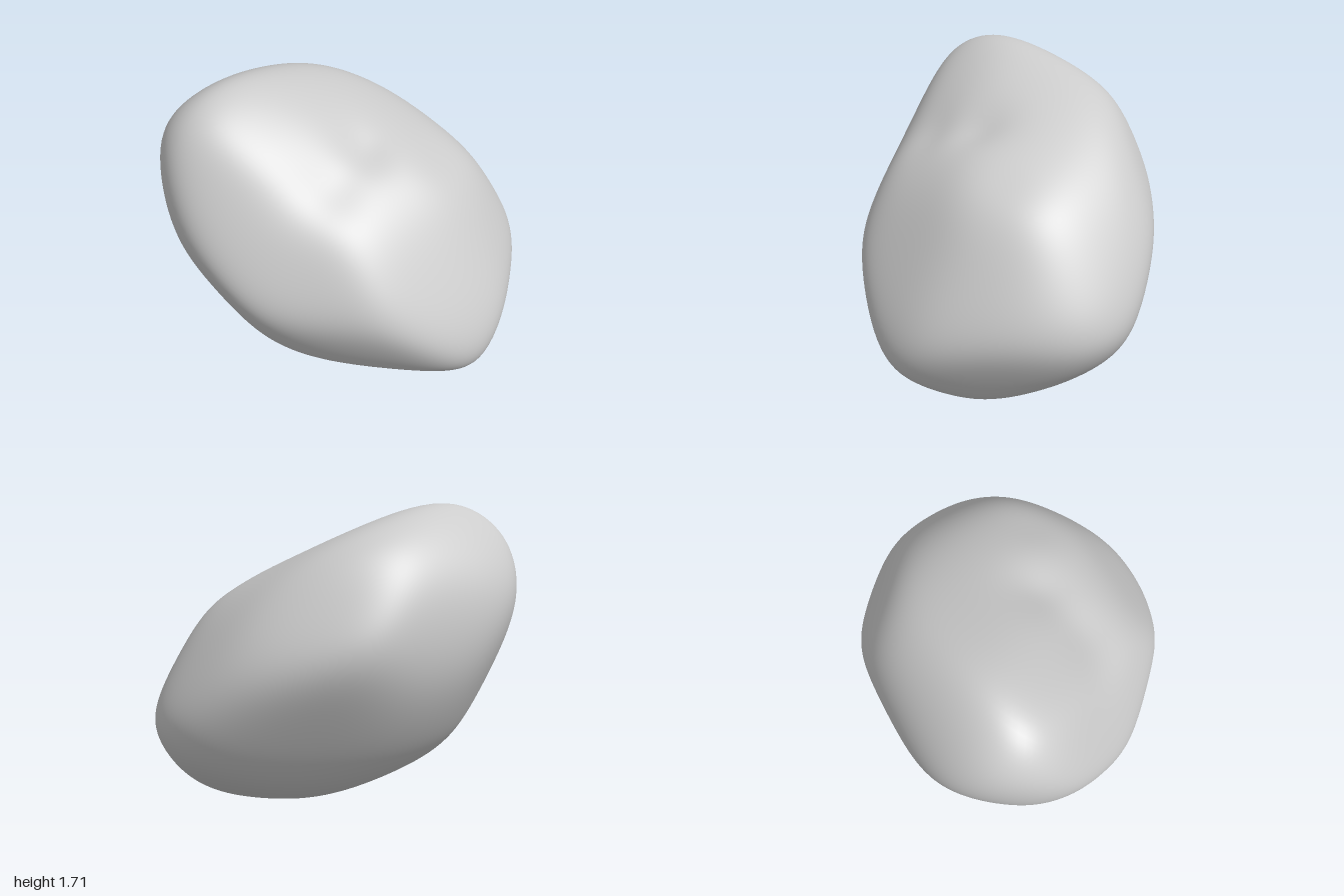
import * as THREE from 'three';
import { mergeVertices } from 'three/addons/utils/BufferGeometryUtils.js';

const V = (x, y, z) => new THREE.Vector3(x, y, z);
const SHARP = 14; // higher = crisper edges between the facets
const [X, Y, Z] = [V(1, 0, 0), V(0, 1, 0), V(0, 0, 1)];

// Right and up axes of an upright plane that faces a diagonal direction
function diagonal(sx, sy, sz) {
  const d = V(sx, sy * 0.66, sz).normalize();
  const right = Y.clone().cross(d).normalize();
  return [right, d.clone().cross(right)];
}

// Rings of facets: two axes, then how far the rock reaches every 30 degrees
const rings = [
  [[X, Y], [0.88, 0.59, 0.58, 0.855, 0.99, 0.97, 0.88, 0.78, 0.77, 0.853, 1.02, 1.06]],
  [[Z, Y], [1, 1.1, 1.06, 0.855, 0.74, 0.77, 1, 1.05, 0.96, 0.853, 0.79, 0.87]],
  [[X, Z], [0.88, 0.8, 0.88, 1, 1.06, 1.03, 0.88, 0.89, 0.91, 1, 0.96, 0.9]],
  [diagonal(1, 1, 1), [0.92, 0.75, 0.67, 0.84, 1.02, 1.13, 1.06, 0.91, 0.82, 0.84, 1.04, 1.08]],
  [diagonal(-1, 1, -1), [1.07, 1.24, 1.17, 0.89, 0.57, 0.67, 0.92, 1.1, 1.03, 0.83, 0.77, 0.84]],
  [diagonal(1, -1, -1), [0.89, 0.9, 0.79, 0.58, 0.56, 0.71, 0.79, 0.85, 0.86, 0.76, 0.77, 0.78]],
];

// Facets between the rings: direction and reach
const corners = [
  [V(1, 0.66, 1), 0.7], [V(-1, 0.66, -1), 0.84], [V(1, -0.66, -1), 1],
  [V(-1, -0.66, 1), 0.87], [V(1, -0.66, 1), 0.82],
];

// Shallow hollows: direction and depth
const hollows = [
  [V(0.1, 0.55, 0.05), 0.05], [V(0.18, 0.42, 0.35), 0.045],
  [V(0.4, 0.42, -0.45), 0.02], [V(-0.1, -0.1, 0.8), 0.02],
];

// Every facet is a plane with a normal, a wanted reach and a working distance h
function makeFacets() {
  const facets = corners.map(([d, reach]) => ({ n: d.clone().normalize(), reach, h: reach }));
  for (const [[u, v], reaches] of rings) {
    reaches.forEach((reach, k) => {
      const a = (k * Math.PI) / 6;
      const n = u.clone().multiplyScalar(Math.cos(a)).addScaledVector(v, Math.sin(a));
      facets.push({ n, reach, h: reach });
    });
  }
  return facets;
}

// Softly rounded intersection of all facets along direction d
function radius(d, facets) {
  let sum = 0;
  for (const f of facets) sum += Math.max(0, d.dot(f.n) / f.h) ** SHARP;
  return sum ** (-1 / SHARP);
}

// Smooth ball with shared corners
function makeBall(detail) {
  const ball = new THREE.IcosahedronGeometry(1, detail);
  ball.deleteAttribute('uv');
  ball.deleteAttribute('normal');
  return mergeVertices(ball, 1e-4);
}

// Unit direction of every corner of a ball
function directions({ attributes: { position } }) {
  return Array.from({ length: position.count }, (_, i) => V().fromBufferAttribute(position, i).normalize());
}

// Move the facets until the rounded body reaches as far as wanted
function fitFacets(facets) {
  const dirs = directions(makeBall(16));
  for (let step = 0; step < 25; step++) {
    const points = dirs.map((d) => d.clone().multiplyScalar(radius(d, facets)));
    for (const f of facets) {
      const got = points.reduce((most, p) => Math.max(most, p.dot(f.n)), 0);
      f.h = THREE.MathUtils.clamp(f.h * (f.reach / got) ** 0.7, f.reach * 0.9, f.reach * 1.35);
    }
  }
}

export function createModel() {
  const facets = makeFacets();
  fitFacets(facets);

  // Push the ball out to the facets and press in the hollows
  const geometry = makeBall(36);
  directions(geometry).forEach((d, i) => {
    let r = radius(d, facets);
    for (const [dir, depth] of hollows) r -= depth * Math.exp(-((d.angleTo(dir) / 0.32) ** 2));
    geometry.attributes.position.setXYZ(i, d.x * r, d.y * r, d.z * r);
  });
  geometry.computeBoundingBox();
  geometry.translate(0, -geometry.boundingBox.min.y, 0);
  geometry.computeVertexNormals();

  const boulder = new THREE.Mesh(geometry, new THREE.MeshStandardMaterial({ color: 0xcccccc }));
  boulder.name = 'boulder';
  const group = new THREE.Group();
  group.name = 'rock';
  group.add(boulder);
  return group;
}
